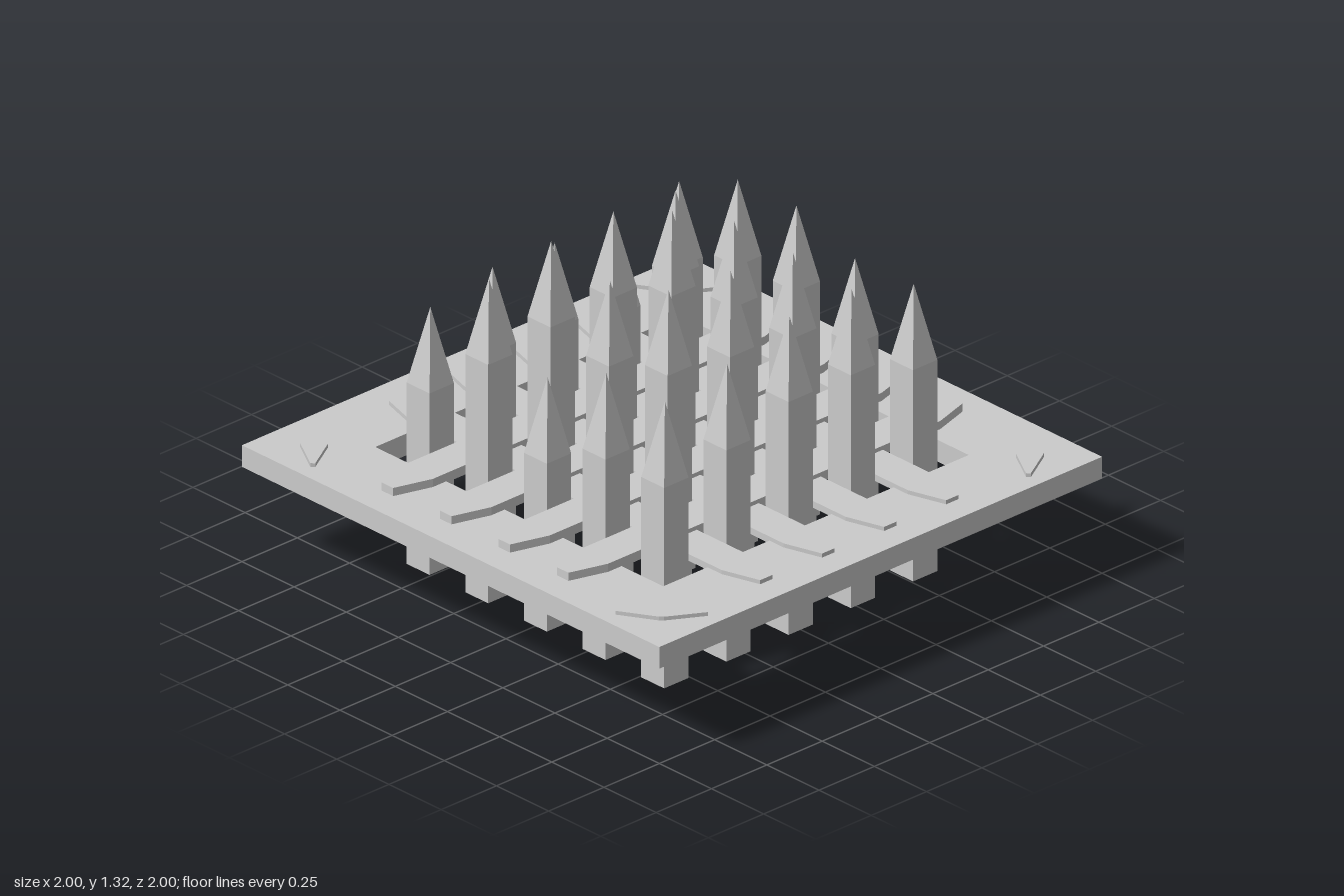
import * as THREE from 'three';

const material = new THREE.MeshStandardMaterial({ color: 0xcccccc, flatShading: true });

// Flat plate from an [x, z] outline, lying between two heights
function plate(name, points, bottom, top) {
  const shape = new THREE.Shape(points.map(([x, z]) => new THREE.Vector2(x, -z)));
  const geometry = new THREE.ExtrudeGeometry(shape, { depth: top - bottom, bevelEnabled: false });
  geometry.rotateX(-Math.PI / 2).translate(0, bottom, 0);
  const mesh = new THREE.Mesh(geometry, material);
  mesh.name = name;
  return mesh;
}

// Bar outline along x with tapered blunt ends
function taperedOutline(half, shoulder, width, tip) {
  return [
    [-half, -tip], [-shoulder, -width], [shoulder, -width], [half, -tip],
    [half, tip], [shoulder, width], [-shoulder, width], [-half, tip],
  ];
}

// Square post with a pyramid point
function spike(height) {
  const r = 0.055 * Math.SQRT2;
  const profile = [[0, 0], [r, 0], [r, height - 0.28], [0, height]]
    .map(([x, y]) => new THREE.Vector2(x, y));
  const geometry = new THREE.LatheGeometry(profile, 4).rotateY(Math.PI / 4);
  const mesh = new THREE.Mesh(geometry, material);
  mesh.name = 'spike';
  return mesh;
}

export function createModel() {
  const model = new THREE.Group();
  model.name = 'spikeTrap';

  // Four mitred frame boards
  const frame = new THREE.Group();
  frame.name = 'frame';
  for (let i = 0; i < 4; i++) {
    const board = plate('frameBoard', [[-1, 1], [1, 1], [0.69, 0.69], [-0.69, 0.69]], 0.35, 0.43);
    board.rotation.y = i * Math.PI / 2;
    frame.add(board);
  }
  model.add(frame);

  // Lattice: lower bars along x, upper bars along z
  const lattice = new THREE.Group();
  lattice.name = 'lattice';
  const outline = taperedOutline(0.89, 0.75, 0.07, 0.028);
  for (const offset of [-0.42, -0.14, 0.14, 0.42]) {
    const crossBar = plate('crossBar', outline, 0.42, 0.445);
    crossBar.position.set(0.008, 0, offset);
    const longBar = plate('longBar', outline, 0.425, 0.46);
    longBar.rotation.y = Math.PI / 2;
    longBar.position.x = offset;
    lattice.add(crossBar, longBar);
  }
  model.add(lattice);

  // Small braces across the mitred corners
  const braces = new THREE.Group();
  braces.name = 'cornerBraces';
  for (const sx of [-1, 1]) {
    for (const sz of [-1, 1]) {
      const brace = plate('cornerBrace', taperedOutline(0.152, 0.008, 0.046, 0.008), 0.42, 0.444);
      brace.rotation.y = sx * sz * Math.PI / 4;
      brace.position.set(sx * 0.833, 0, sz * 0.831);
      braces.add(brace);
    }
  }
  model.add(braces);

  // Spike heights, rows from back to front, columns from -x to +x
  const heights = [
    [1.02, 1.13, 1.14, 1.05, 1.06],
    [0.94, 1.19, 1.18, 1.17, 1.14],
    [0.99, 1.21, 1.32, 1.2, 1.14],
    [1.0, 1.2, 1.16, 1.23, 1.06],
    [0.95, 1.16, 0.9, 1.02, 1.02],
  ];
  const spikes = new THREE.Group();
  spikes.name = 'spikes';
  heights.forEach((row, j) => row.forEach((height, i) => {
    const post = spike(height);
    post.position.set((i - 2) * 0.281, 0, (j - 2) * 0.281);
    spikes.add(post);
  }));
  model.add(spikes);

  return model;
}
